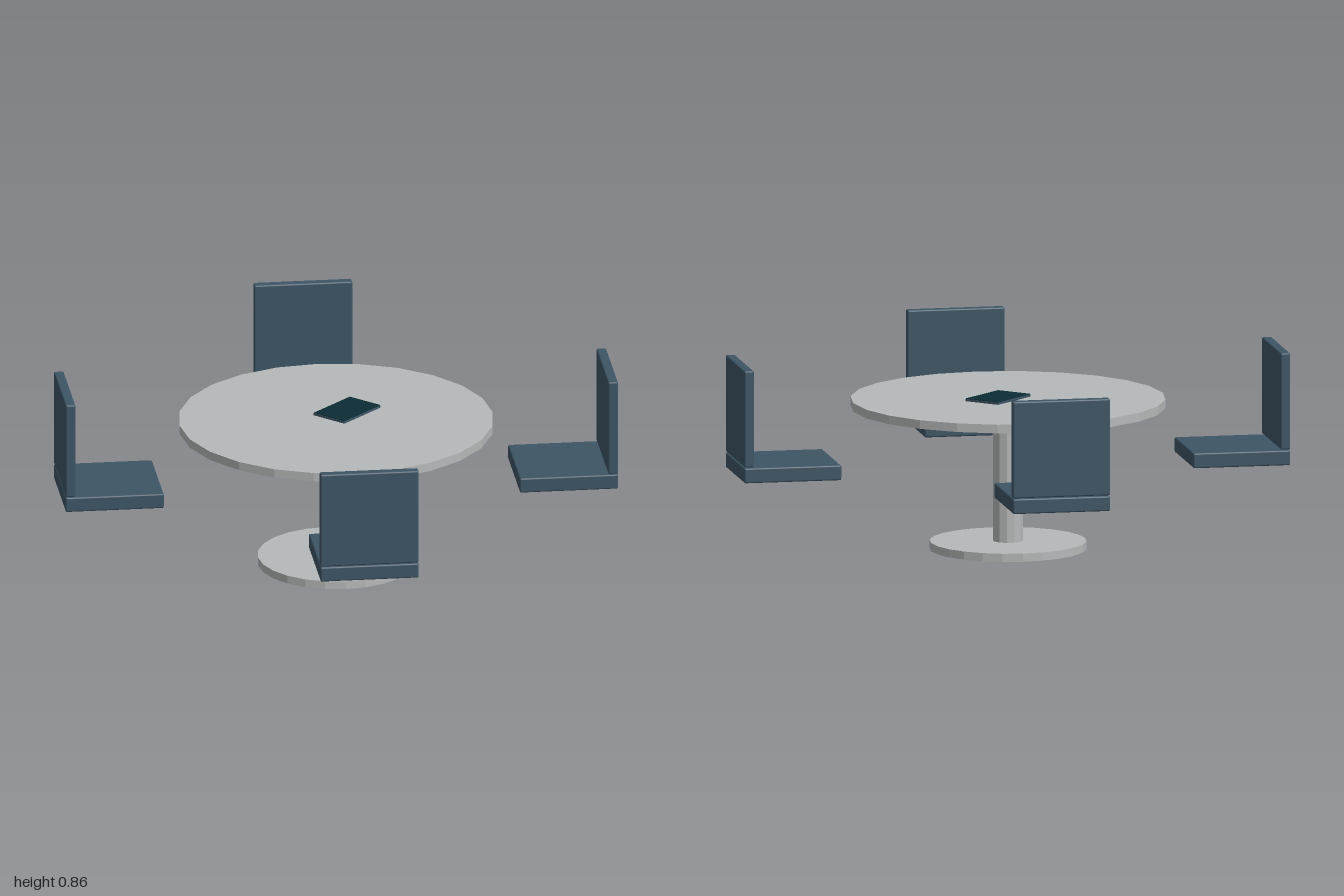
import * as THREE from 'three';
import { RoundedBoxGeometry } from 'three/addons/geometries/RoundedBoxGeometry.js';

const material = (name, color) => {
  const m = new THREE.MeshStandardMaterial({ color });
  m.name = name;
  return m;
};

export function createModel() {
  const stone = material('pale grey', 0xb6b9b9);
  stone.flatShading = true;
  const slate = material('slate blue', 0x3d5565);
  const screen = material('dark teal', 0x0c2c34);

  const model = new THREE.Group();
  model.name = 'diningSet';

  const add = (parent, name, geometry, mat, x, y, z) => {
    const mesh = new THREE.Mesh(geometry, mat);
    mesh.name = name;
    mesh.position.set(x, y, z);
    parent.add(mesh);
    return mesh;
  };

  // Upright faceted disc or post between two heights
  const disc = (parent, name, r, y0, y1, sides, mat = stone) =>
    add(parent, name, new THREE.CylinderGeometry(r, r, y1 - y0, sides), mat, 0, (y0 + y1) / 2, 0);

  // Pedestal table
  const table = new THREE.Group();
  table.name = 'table';
  model.add(table);
  disc(table, 'tableTop', 0.683, 0.626, 0.664, 24);
  disc(table, 'column', 0.065, 0.035, 0.617, 12);
  disc(table, 'base', 0.34, 0.002, 0.038, 24);
  disc(table, 'basePlug', 0.058, 0, 0.006, 12, slate);

  // Tablet lying off-centre on the table
  const tablet = new THREE.Group();
  tablet.name = 'tablet';
  tablet.position.set(0.083, 0, -0.004);
  model.add(tablet);
  add(tablet, 'tabletBody', new THREE.BoxGeometry(0.254, 0.01, 0.17), slate, 0, 0.677, 0);
  add(tablet, 'tabletScreen', new THREE.BoxGeometry(0.25, 0.003, 0.166), screen, 0, 0.683, 0);

  // Four floating chairs facing the table on the diagonals
  const side = 0.428, thick = 0.043;
  const seatGeometry = new RoundedBoxGeometry(side, 0.066, side, 2, 0.007);
  const backGeometry = new RoundedBoxGeometry(side, 0.424, thick, 2, 0.007);
  for (let i = 0; i < 4; i++) {
    const chair = new THREE.Group();
    chair.name = 'chair' + (i + 1);
    const angle = Math.PI / 4 + i * Math.PI / 2;
    chair.rotation.y = angle;
    chair.position.set(Math.sin(angle) * 0.99, 0, Math.cos(angle) * 0.99);
    add(chair, 'seat', seatGeometry, slate, 0, 0.397, 0);
    add(chair, 'backrest', backGeometry, slate, 0, 0.645, (side - thick) / 2);
    model.add(chair);
  }
  return model;
}
